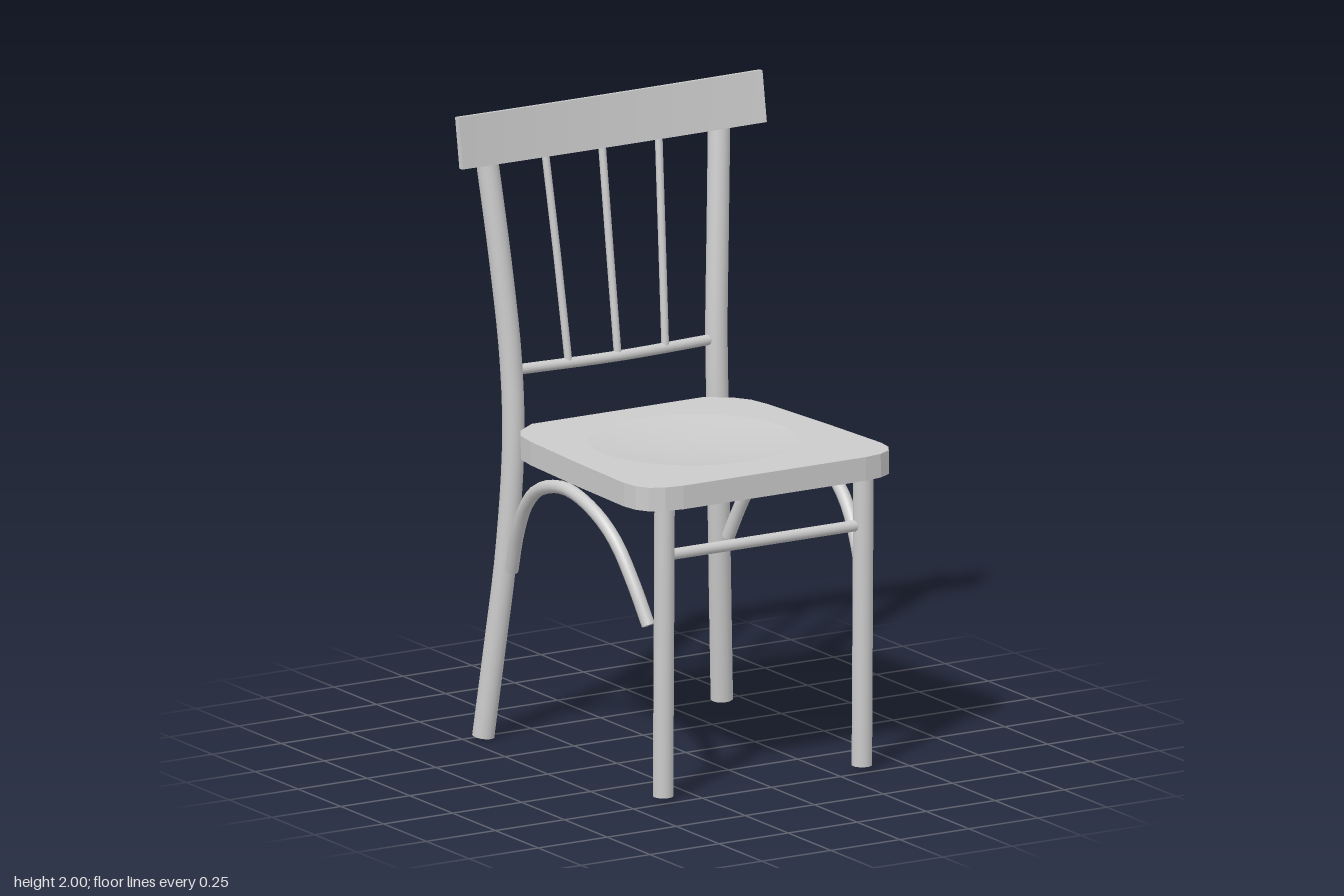
import * as THREE from 'three';
import { mergeGeometries } from 'three/addons/utils/BufferGeometryUtils.js';

const material = new THREE.MeshStandardMaterial({ color: 0xcccccc });
const doubleSided = new THREE.MeshStandardMaterial({ color: 0xcccccc, side: THREE.DoubleSide });

function addMesh(parent, name, geometry, mat = material) {
  const mesh = new THREE.Mesh(geometry, mat);
  mesh.name = name;
  parent.add(mesh);
  return mesh;
}

// Round rod along a smooth path, closed with a disc at each end
function rod(points, radius, steps = 16, sides = 16) {
  const curve = new THREE.CatmullRomCurve3(points.map(p => new THREE.Vector3(...p)));
  const cap = t => {
    const direction = curve.getTangent(t).multiplyScalar(t === 0 ? -1 : 1);
    const turn = new THREE.Quaternion().setFromUnitVectors(new THREE.Vector3(0, 0, 1), direction);
    const at = curve.getPoint(t);
    return new THREE.CircleGeometry(radius, sides).applyQuaternion(turn).translate(at.x, at.y, at.z);
  };
  return mergeGeometries([new THREE.TubeGeometry(curve, steps, radius, sides), cap(0), cap(1)]);
}

// Seat outline, mirrored across x; inset shrinks it for the hollow underside
function seatOutline(inset = 0) {
  const half = [
    [0.33, 0.53], [0.39, 0.52], [0.435, 0.495], [0.458, 0.455], [0.466, 0.4], [0.452, 0.1],
    [0.432, -0.2], [0.418, -0.28], [0.385, -0.335], [0.31, -0.39],
  ];
  const points = [...half, ...half.map(([x, z]) => [-x, z]).reverse()];
  const kx = 1 - inset / 0.45, kz = 1 - inset / 0.46;
  return points.map(([x, z]) => new THREE.Vector2(x * kx, -((z - 0.07) * kz + 0.07)));
}

function buildSeat() {
  const seat = new THREE.Group();
  seat.name = 'seat';
  const bottom = 0.93, top = 1.005, inset = 0.025;
  const dishRadius = 0.325, dishZ = 0.055;

  // Outer rim
  const rimShape = new THREE.Shape(seatOutline());
  rimShape.holes.push(new THREE.Path(seatOutline(inset)));
  const rim = new THREE.ExtrudeGeometry(rimShape, { depth: top - bottom, bevelEnabled: false });
  addMesh(seat, 'seatRim', rim.rotateX(-Math.PI / 2).translate(0, bottom, 0));

  // Flat top around the dish
  const topShape = new THREE.Shape(seatOutline(inset));
  topShape.holes.push(new THREE.Path().absarc(0, -dishZ, dishRadius, 0, Math.PI * 2, true));
  addMesh(seat, 'seatTop', new THREE.ShapeGeometry(topShape, 12).rotateX(-Math.PI / 2).translate(0, top, 0));

  // Shallow dish
  const profile = [];
  for (let i = 0; i <= 6; i++) {
    const r = i / 6;
    profile.push(new THREE.Vector2(r * dishRadius, -0.02 * (1 - r * r)));
  }
  addMesh(seat, 'seatDish', new THREE.LatheGeometry(profile, 24).translate(0, top, dishZ), doubleSided);

  // Recessed underside
  const under = new THREE.ShapeGeometry(new THREE.Shape(seatOutline(inset)));
  addMesh(seat, 'seatUnderside', under.rotateX(-Math.PI / 2).translate(0, 0.97, 0), doubleSided);

  seat.rotation.x = -0.011;
  return seat;
}

// Curved board with a slight backward lean
function buildHeadBoard() {
  const geometry = new THREE.BoxGeometry(1.1, 0.16, 0.022, 20, 1, 1);
  const p = geometry.attributes.position;
  for (let i = 0; i < p.count; i++) {
    const bow = (p.getX(i) / 0.55) ** 2;
    const y = p.getY(i), z = p.getZ(i);
    p.setY(i, 1.906 + y + 0.15 * z + 0.012 * bow);
    p.setZ(i, -0.472 + z - 0.16 * y + 0.034 * bow);
  }
  geometry.computeVertexNormals();
  return geometry;
}

export function createModel() {
  const chair = new THREE.Group();
  chair.name = 'chair';
  chair.add(buildSeat());

  // Legs and side arches, mirrored
  for (const [side, s] of [['left', 1], ['right', -1]]) {
    addMesh(chair, side + 'FrontLeg', rod([[s * 0.36, 0.012, 0.447], [s * 0.36, 0.5, 0.452], [s * 0.36, 0.96, 0.456]], 0.032));
    addMesh(chair, side + 'BackLeg', rod([
      [s * 0.432, 0.006, -0.487], [s * 0.408, 0.3, -0.457], [s * 0.385, 0.6, -0.428], [s * 0.37, 0.95, -0.412],
      [s * 0.372, 1.2, -0.422], [s * 0.392, 1.5, -0.447], [s * 0.43, 1.95, -0.497],
    ], 0.035, 28));
    addMesh(chair, side + 'Arch', rod([
      [s * 0.39, 0.55, 0.41], [s * 0.406, 0.67, 0.35], [s * 0.42, 0.79, 0.265], [s * 0.43, 0.862, 0.16], [s * 0.434, 0.9, 0],
      [s * 0.432, 0.862, -0.16], [s * 0.424, 0.79, -0.25], [s * 0.408, 0.67, -0.33], [s * 0.392, 0.55, -0.385],
    ], 0.021, 28, 12));
  }

  // Rails between the legs
  addMesh(chair, 'frontStretcher', rod([[-0.36, 0.778, 0.453], [0, 0.778, 0.453], [0.36, 0.778, 0.453]], 0.018, 2, 12));
  addMesh(chair, 'lowerBackRail', rod([[-0.37, 1.175, -0.42], [0, 1.175, -0.398], [0.37, 1.175, -0.42]], 0.017, 16, 12));
  addMesh(chair, 'upperBackRail', rod([[-0.42, 1.86, -0.484], [0, 1.86, -0.498], [0.42, 1.86, -0.484]], 0.017, 16, 12));

  // Fanned back spindles
  for (const i of [-1, 0, 1]) {
    addMesh(chair, 'backSpindle', rod([
      [i * 0.175, 1.175, i ? -0.403 : -0.398], [i * 0.19, 1.518, -0.447], [i * 0.207, 1.86, -0.495],
    ], 0.012, 4, 10));
  }

  addMesh(chair, 'headBoard', buildHeadBoard());
  return chair;
}
